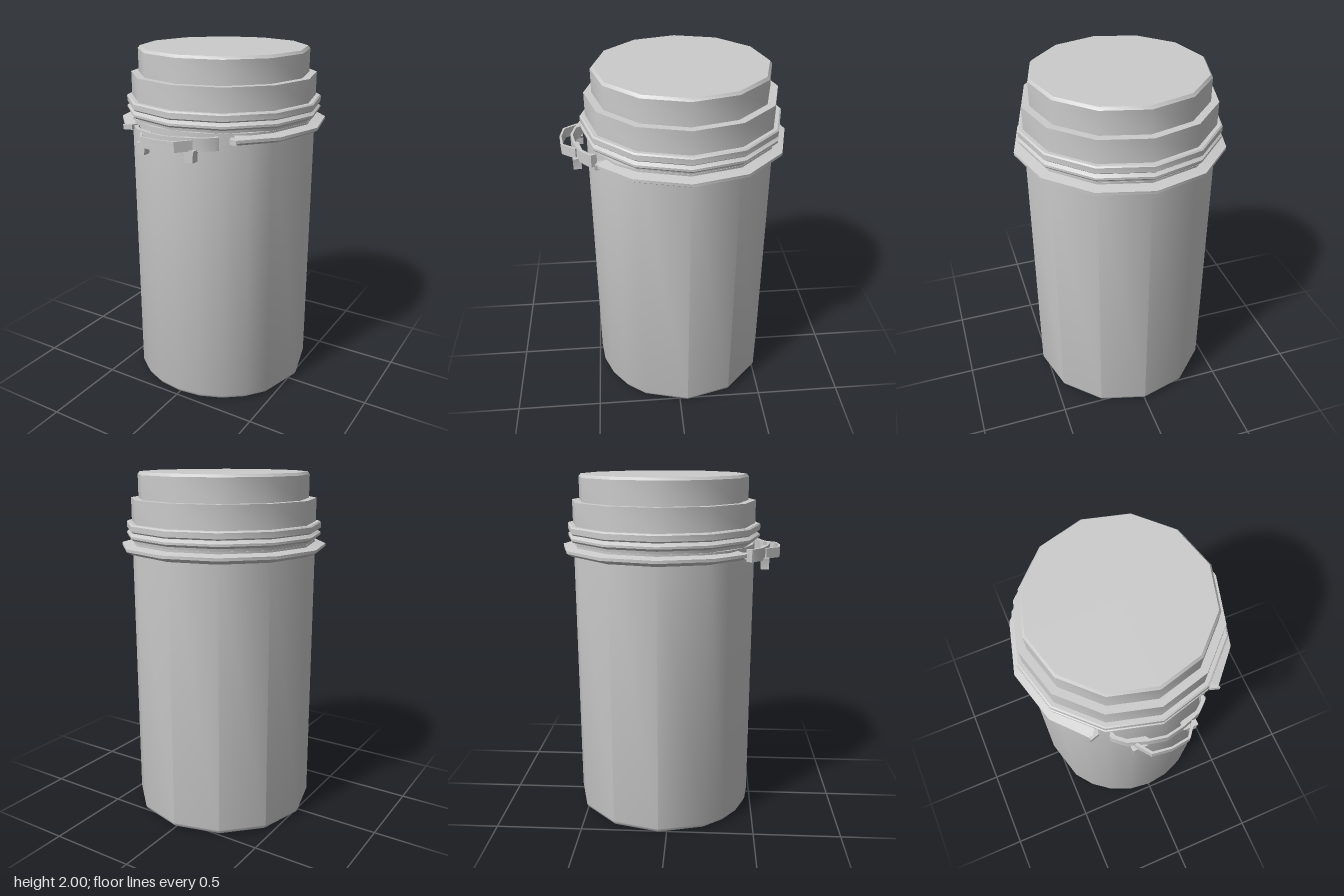
import * as THREE from 'three';
import { toCreasedNormals } from 'three/addons/utils/BufferGeometryUtils.js';

const AXIS_Z = -0.047; // the canister's own axis sits slightly behind the origin
const material = new THREE.MeshStandardMaterial({ color: 0xcccccc, side: THREE.DoubleSide });

function addMesh(parent, name, geometry) {
  const mesh = new THREE.Mesh(toCreasedNormals(geometry, 0.62), material);
  mesh.name = name;
  parent.add(mesh);
  return mesh;
}

// Sweeps a profile of [radius, y] (bottom to top) through angles in degrees; 0 is the front.
function sweep(profile, angles) {
  const positions = [];
  const index = [];
  const n = profile.length;
  angles.forEach((deg) => {
    const a = THREE.MathUtils.degToRad(deg);
    profile.forEach(([r, y]) => positions.push(r * Math.sin(a), y, r * Math.cos(a) + AXIS_Z));
  });
  for (let i = 0; i < angles.length - 1; i++) {
    for (let j = 0; j < n - 1; j++) {
      const a = i * n + j;
      const b = a + n;
      index.push(a, b, a + 1, b, b + 1, a + 1);
    }
  }
  const geometry = new THREE.BufferGeometry();
  geometry.setAttribute('position', new THREE.Float32BufferAttribute(positions, 3));
  geometry.setIndex(index);
  return geometry;
}

// Extrudes an outline given in x, z between two heights.
function slab(points, bottom, top) {
  const shape = new THREE.Shape(points.map(([x, z]) => new THREE.Vector2(x, z)));
  const geometry = new THREE.ExtrudeGeometry(shape, { depth: top - bottom, bevelEnabled: false });
  return geometry.rotateX(Math.PI / 2).translate(0, top, 0);
}

// Mirrors a half outline (running from the left end to x = 0) across the centre.
function mirrored(half) {
  return [...half, ...half.slice(0, -1).reverse().map(([x, z]) => [-x, z])];
}

// A thin strip between an outer and an inner half outline.
function strip(outer, inner, bottom, top) {
  return slab([...mirrored(outer), ...mirrored(inner).reverse()], bottom, top);
}

export function createModel() {
  const model = new THREE.Group();
  model.name = 'canister';
  const twelve = Array.from({ length: 13 }, (_, i) => i * 30);

  // Body: twelve sides, rounder at the front
  const bodyAngles = [-60, -45, -30, -15, 0, 15, 30, 45, 60, 90, 120, 150, 180, 210, 240, 270, 300];
  addMesh(model, 'body', sweep(
    [[0, 0], [0.505, 0], [0.522, 0.012], [0.53, 0.03], [0.53, 1.62], [0, 1.62]], bodyAngles));

  // Flange around the shoulder, open at the front
  const flange = new THREE.Group();
  flange.name = 'flange';
  model.add(flange);
  const flangeAngles = [36.5, 60, 90, 120, 150, 180, 210, 240, 270, 300, 323.5];
  addMesh(flange, 'flangeRing', sweep(
    [[0.525, 1.555], [0.565, 1.567], [0.59, 1.582], [0.59, 1.598], [0.525, 1.61]], flangeAngles));
  for (const s of [-1, 1]) {
    const end = [[0.36, 0.435], [0.31, 0.42], [0.3, 0.38], [0.34, 0.36]].map(([x, z]) => [s * x, z]);
    addMesh(flange, 'flangeEnd', slab(end, 1.572, 1.6));
  }

  // Seal ring between the body and the lid
  addMesh(model, 'sealRing', sweep(
    [[0.525, 1.6], [0.53, 1.635], [0.55, 1.64], [0.56, 1.65], [0.56, 1.662], [0.54, 1.676], [0.5, 1.676]],
    twelve));

  // Stepped lid with a rim at its lower edge
  addMesh(model, 'lid', sweep(
    [[0.5, 1.68], [0.55, 1.68], [0.56, 1.688], [0.56, 1.718], [0.552, 1.725], [0.53, 1.725],
      [0.53, 1.855], [0.487, 1.855], [0.487, 1.985], [0.475, 2], [0, 2]], twelve));

  // Latch at the front: curved band, outer pull loop and two small hooks
  const latch = new THREE.Group();
  latch.name = 'latch';
  model.add(latch);
  addMesh(latch, 'latchBand', strip(
    [[0.265, 0.455], [0.255, 0.47], [0.2, 0.518], [0.1, 0.552], [0, 0.572]].map(([x, z]) => [-x, z]),
    [[0.25, 0.425], [0.235, 0.462], [0.19, 0.5], [0.1, 0.522], [0.085, 0.543], [0, 0.558]].map(([x, z]) => [-x, z]),
    1.54, 1.61));
  addMesh(latch, 'pullLoop', strip(
    [[-0.165, 0.54], [-0.105, 0.618], [0, 0.632]],
    [[-0.15, 0.535], [-0.097, 0.607], [0, 0.621]], 1.545, 1.602));
  for (const s of [-1, 1]) {
    // Hook drawn in x, y with a small step at its foot
    const outline = [[0.1, 1.55], [0.125, 1.525], [0.13, 1.485], [0.175, 1.485], [0.175, 1.515], [0.182, 1.55]];
    const shape = new THREE.Shape(outline.map(([x, y]) => new THREE.Vector2(s * x, y)));
    const geometry = new THREE.ExtrudeGeometry(shape, { depth: 0.045, bevelEnabled: false });
    addMesh(latch, 'latchHook', geometry.translate(0, 0, 0.512));
  }
  return model;
}
